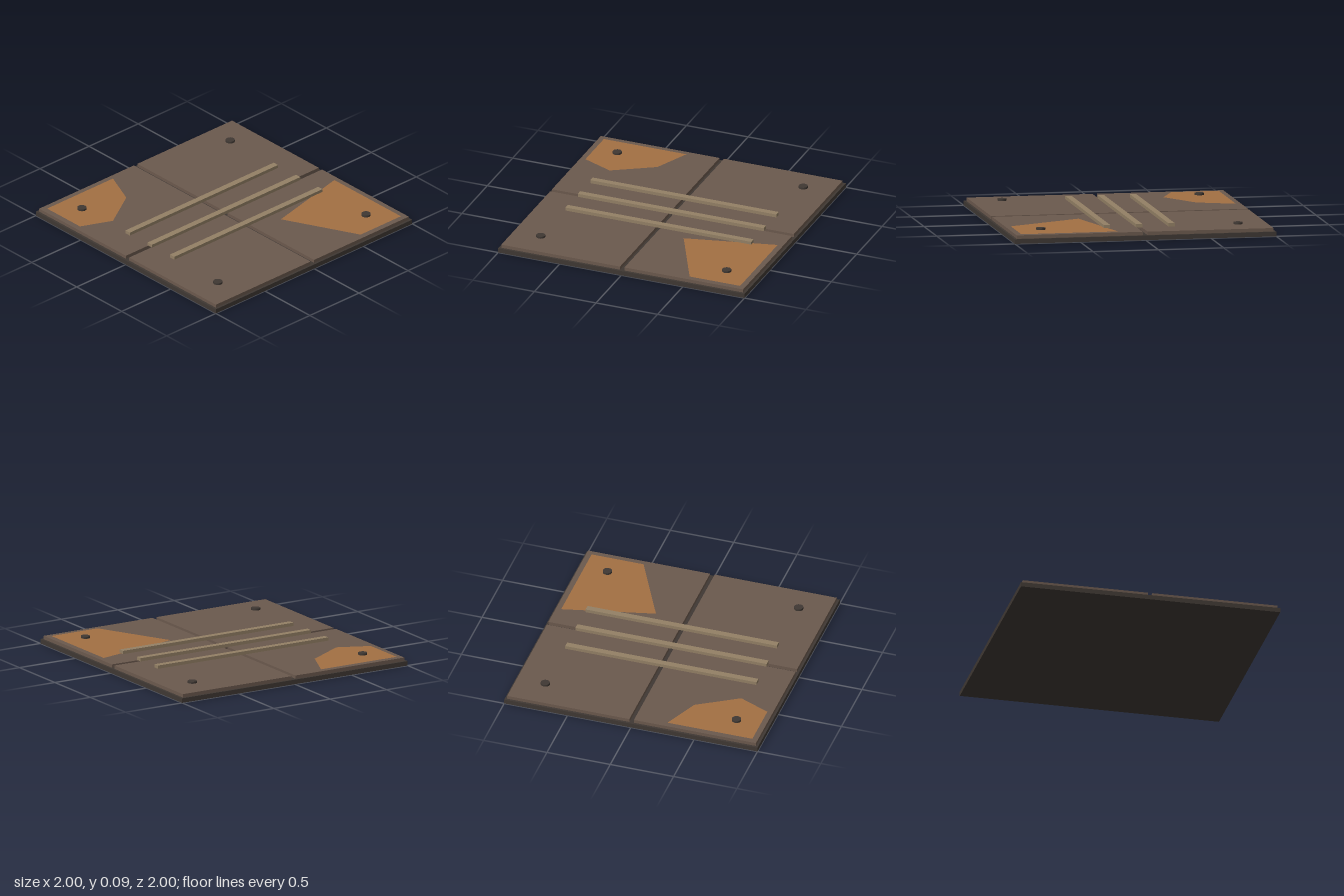
import * as THREE from 'three';

const mat = (color, extra = {}) => new THREE.MeshStandardMaterial({ color, ...extra });

export function createModel() {
  const model = new THREE.Group();
  const dark = mat(0x3f3833);
  const panelMat = mat(0x6b594d);
  const ribMat = mat(0x938065);
  const rust = mat(0xa37043, { side: THREE.DoubleSide });

  const add = (name, geometry, material, x, y, z) => {
    const mesh = new THREE.Mesh(geometry, material);
    mesh.name = name;
    mesh.position.set(x, y, z);
    model.add(mesh);
  };

  // Base slab
  add('baseSlab', new THREE.BoxGeometry(2, 0.035, 2), dark, 0, 0.0175, 0);

  // Four panels separated by a cross-shaped groove, each with a bolt
  const panel = new THREE.BoxGeometry(0.964, 0.026, 0.964);
  const bolt = new THREE.CylinderGeometry(0.035, 0.035, 0.015, 16);
  for (const sx of [-1, 1]) {
    for (const sz of [-1, 1]) {
      add('panel', panel, panelMat, sx * 0.5, 0.048, sz * 0.5);
      add('bolt', bolt, dark, sx * 0.755, 0.0735, sz * 0.755);
    }
  }

  // Raised tread ribs
  const rib = new THREE.BoxGeometry(1.51, 0.025, 0.048);
  for (const z of [-0.247, 0, 0.247]) add('treadRib', rib, ribMat, 0, 0.0735, z);

  // Flat rust patches, outlined in x and z
  const outlines = [
    [[-0.94, -0.94], [-0.27, -0.94], [-0.39, -0.66], [-0.7, -0.47], [-0.94, -0.575]],
    [[0.94, 0.2], [0.245, 0.365], [0.53, 0.94], [0.94, 0.94]],
  ];
  for (const outline of outlines) {
    const shape = new THREE.Shape(outline.map(([x, z]) => new THREE.Vector2(x, -z)));
    add('rustPatch', new THREE.ShapeGeometry(shape).rotateX(-Math.PI / 2), rust, 0, 0.063, 0);
  }

  return model;
}
